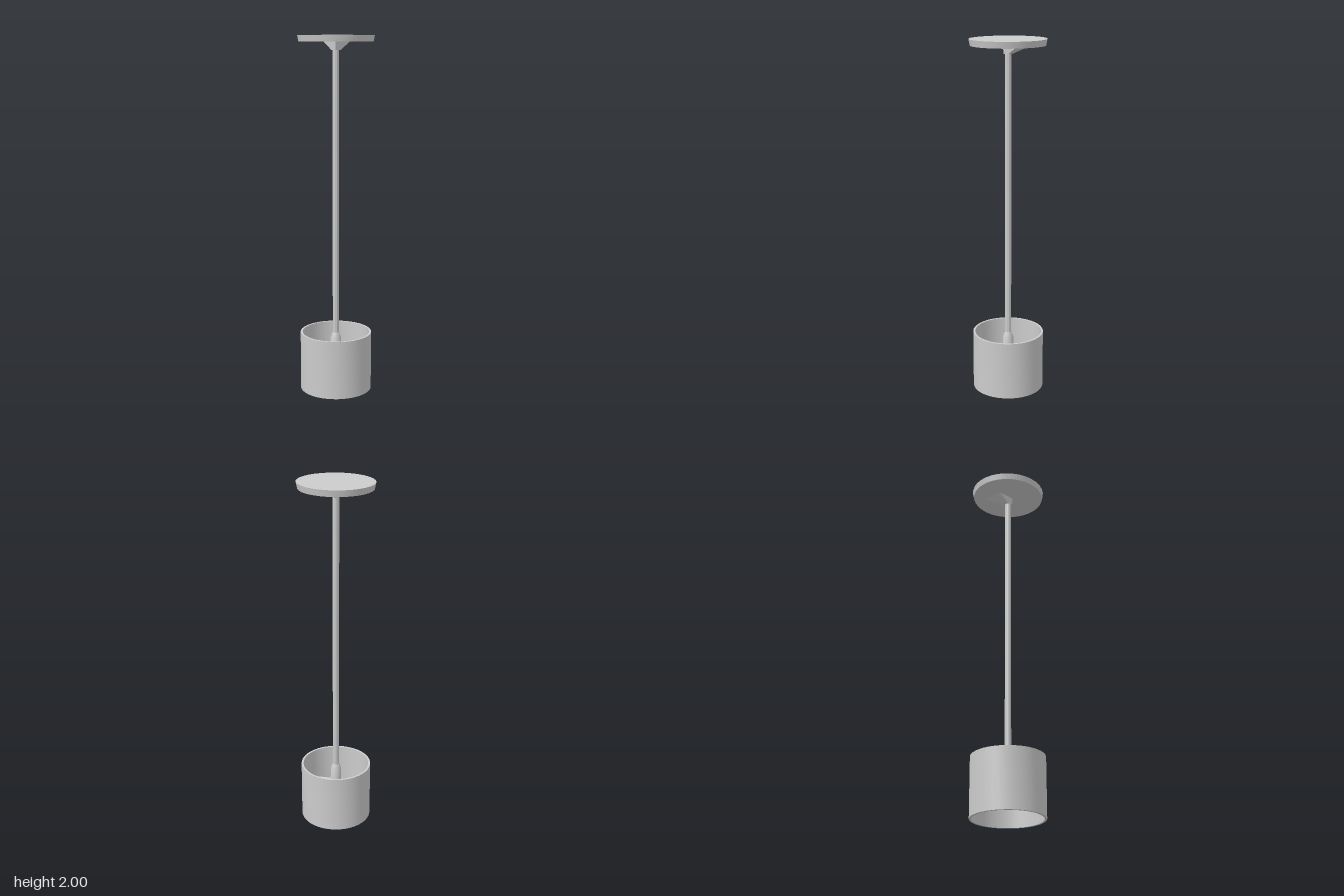
import * as THREE from 'three';
import { ConvexGeometry } from 'three/addons/geometries/ConvexGeometry.js';
import { toCreasedNormals } from 'three/addons/utils/BufferGeometryUtils.js';

export function createModel() {
  const group = new THREE.Group();
  const material = new THREE.MeshStandardMaterial({ color: 0xcccccc, side: THREE.DoubleSide });

  function add(name, geometry, y = 0) {
    const mesh = new THREE.Mesh(toCreasedNormals(geometry, 0.6), material);
    mesh.name = name;
    mesh.position.y = y;
    group.add(mesh);
    return mesh;
  }
  const lathe = (points, sides) =>
    new THREE.LatheGeometry(points.map(([r, y]) => new THREE.Vector2(r, y)), sides);

  // Ceiling plate, very slightly oval and tapered towards its underside
  const plate = add('ceilingPlate', new THREE.CylinderGeometry(0.215, 0.208, 0.035, 32), 1.9825);
  plate.scale.z = 0.965;

  // Faceted gusset spreading from the rod to the plate, towards the back right
  const corners = [[0.02, 0.02], [0.02, -0.085], [-0.095, -0.095], [-0.085, 0.02]];
  const gussetPoints = corners.map(([x, z]) => new THREE.Vector3(x, 1.968, z));
  for (const x of [-0.017, 0.017]) {
    for (const z of [-0.017, 0.017]) gussetPoints.push(new THREE.Vector3(x, 1.92, z));
  }
  add('plateGusset', new ConvexGeometry(gussetPoints));

  // Hanging rod
  add('rod', new THREE.CylinderGeometry(0.018, 0.018, 1.68, 10), 1.13);

  // Lamp socket with a flared collar
  add('socket', lathe([[0.018, 0.33], [0.03, 0.3], [0.032, 0.18], [0, 0.18]], 16));

  // Bulb
  add('bulb', lathe([[0, 0.05], [0.025, 0.056], [0.046, 0.074], [0.058, 0.105],
    [0.052, 0.135], [0.036, 0.16], [0.026, 0.185]], 16));

  // Open drum shade with wall thickness
  add('shade', lathe([[0.202, 0.005], [0.202, 0.338], [0.19, 0.338], [0.19, 0.005], [0.202, 0.005]], 40), -0.003);

  // Cross bar carrying the shade from the socket
  const bar = add('shadeBar', new THREE.CylinderGeometry(0.005, 0.005, 0.385, 6).rotateZ(Math.PI / 2), 0.22);
  bar.rotation.y = Math.PI / 4;

  return group;
}
